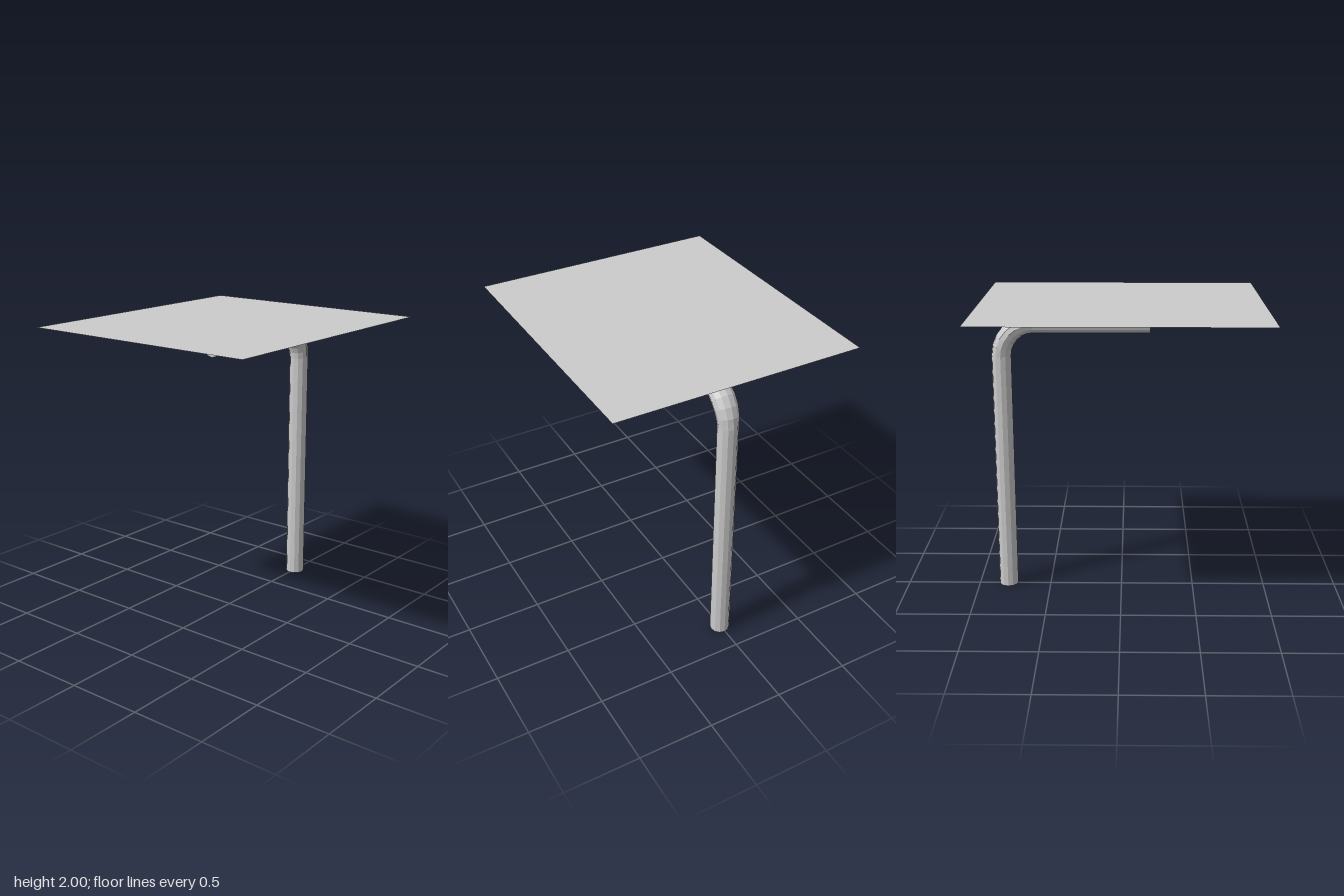
import * as THREE from 'three';

const material = new THREE.MeshStandardMaterial({ color: 0xcccccc, flatShading: true });

// Flat rectangular top whose underside tapers down to a narrow strip on the arm
function makeTop() {
  const geometry = new THREE.BoxGeometry(1.85, 1, 1.65);
  const p = geometry.attributes.position;
  for (let i = 0; i < p.count; i++) {
    const x = p.getX(i), z = p.getZ(i);
    if (p.getY(i) > 0) p.setXYZ(i, x, 2, z);
    else p.setXYZ(i, x > 0 ? 0.62 : 0.05, 1.862, Math.sign(z) * 0.055 + 0.003);
  }
  geometry.computeVertexNormals();
  const mesh = new THREE.Mesh(geometry, material);
  mesh.name = 'tableTop';
  return mesh;
}

// Round bar: straight leg, 90 degree bend, then a straight arm under the top
function makeLeg() {
  const radius = 0.065, bend = 0.215, legX = 0.795, armY = 1.86, steps = 6;
  const rings = [{ x: legX, y: 0, angle: 0 }];
  for (let i = 0; i <= steps; i++) {
    const angle = (i / steps) * Math.PI / 2;
    rings.push({
      x: legX - bend + bend * Math.cos(angle),
      y: armY - bend + bend * Math.sin(angle),
      angle,
    });
  }
  rings.push({ x: -0.19, y: armY, angle: Math.PI / 2 });

  const segments = rings.length - 1;
  const geometry = new THREE.CylinderGeometry(radius, radius, segments, 12, segments);
  const p = geometry.attributes.position;
  for (let i = 0; i < p.count; i++) {
    const ring = rings[Math.round(p.getY(i) + segments / 2)];
    const side = p.getX(i);
    // The bar flattens out sideways through the bend
    const widen = 1 + 0.2 * Math.sin(2 * ring.angle);
    p.setXYZ(
      i,
      ring.x + side * Math.cos(ring.angle),
      ring.y + side * Math.sin(ring.angle),
      p.getZ(i) * widen + 0.004,
    );
  }
  geometry.computeVertexNormals();
  const mesh = new THREE.Mesh(geometry, material);
  mesh.name = 'bentLeg';
  return mesh;
}

export function createModel() {
  const group = new THREE.Group();
  group.name = 'sideTable';
  group.add(makeTop(), makeLeg());
  return group;
}
